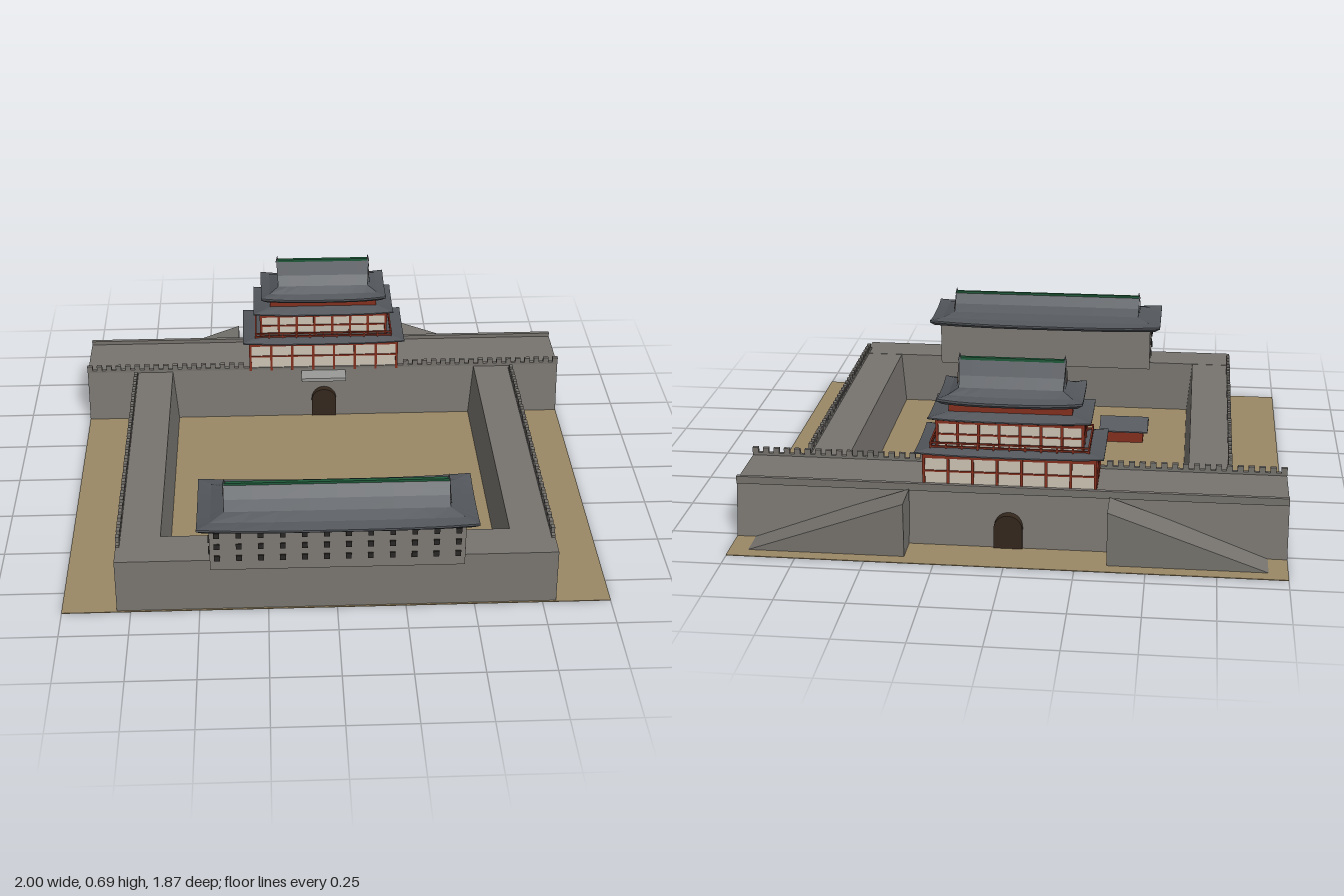
import * as THREE from 'three';
import { mergeGeometries } from 'three/addons/utils/BufferGeometryUtils.js';

const mat = (color) => new THREE.MeshStandardMaterial({ color, side: THREE.DoubleSide });

export function createModel() {
  const root = new THREE.Group();
  const stone = mat(0x77746f), brick = mat(0x7f7b75), tile = mat(0x52565b), red = mat(0x85301f),
    cream = mat(0xcfc5b6), wood = mat(0x35281d), green = mat(0x1f5a3a), dark = mat(0x2a2826),
    earth = mat(0x9a8865), gableMat = mat(0x6b615a), slabMat = mat(0x9a9a98);

  const add = (parent, name, geometry, material) => {
    const mesh = new THREE.Mesh(geometry, material);
    mesh.name = name;
    parent.add(mesh);
    return mesh;
  };
  const group = (name, x = 0, z = 0) => {
    const g = new THREE.Group();
    g.name = name;
    g.position.set(x, 0, z);
    root.add(g);
    return g;
  };
  // Box given by its limits
  const box = (x0, x1, y0, y1, z0, z1) => new THREE.BoxGeometry(x1 - x0, y1 - y0, z1 - z0)
    .translate((x0 + x1) / 2, (y0 + y1) / 2, (z0 + z1) / 2);

  // Stacked rectangles [x0, x1, z0, z1, y, cornerLift], closed at both ends
  function loft(rings, steps = 1) {
    const pos = [], idx = [], n = steps * 4;
    for (const [x0, x1, z0, z1, y, lift = 0] of rings) {
      const c = [[x0, z1], [x1, z1], [x1, z0], [x0, z0]];
      for (let s = 0; s < n; s++) {
        const a = c[Math.floor(s / steps)], b = c[(Math.floor(s / steps) + 1) % 4], t = (s % steps) / steps;
        pos.push(a[0] + (b[0] - a[0]) * t, y + lift * Math.abs(2 * t - 1) ** 3, a[1] + (b[1] - a[1]) * t);
      }
    }
    for (let r = 0; r < rings.length - 1; r++) {
      for (let s = 0; s < n; s++) {
        const a = r * n + s, b = r * n + (s + 1) % n;
        idx.push(a, b, b + n, a, b + n, a + n);
      }
    }
    const last = (rings.length - 1) * n;
    for (let s = 1; s < n - 1; s++) idx.push(0, s + 1, s, last, last + s, last + s + 1);
    const g = new THREE.BufferGeometry();
    g.setAttribute('position', new THREE.Float32BufferAttribute(pos, 3));
    g.setIndex(idx);
    const flat = g.toNonIndexed();
    flat.computeVertexNormals();
    return flat;
  }
  // Centred rings [halfX, halfZ, y, lift]
  const centred = (rings) => loft(rings.map(([x, z, y, l]) => [-x, x, -z, z, y, l]), 8);

  // Ground
  add(root, 'ground', box(-1, 1, 0.001, 0.004, -0.935, 0.872), earth);

  // Battered walls around the court
  add(root, 'gateWall', loft([[-1, 1, -0.775, -0.452, 0], [-1, 1, -0.735, -0.488, 0.212]]), stone);
  add(root, 'frontWall', loft([[-0.8, 0.8, 0.68, 0.866, 0], [-0.8, 0.8, 0.698, 0.85, 0.21]]), stone);
  for (const s of [-1, 1]) {
    const inner = [0.62, 0.64].map((v) => [Math.min(s * v, s * 0.8), Math.max(s * v, s * 0.8)]);
    add(root, 'sideWall', loft([[...inner[0], -0.47, 0.71, 0], [...inner[1], -0.49, 0.71, 0.209]]), stone);
  }

  // Parapets and battlements
  const teeth = [];
  for (let x = 0.35; x < 0.995; x += 0.04) {
    for (const s of [-1, 1]) teeth.push(box(s * x - 0.011, s * x + 0.011, 0.212, 0.242, -0.502, -0.488));
  }
  for (let z = -0.43; z < 0.76; z += 0.04) {
    for (const s of [-1, 1]) teeth.push(box(s * 0.793 - 0.007, s * 0.793 + 0.007, 0.205, 0.241, z - 0.011, z + 0.011));
  }
  add(root, 'battlements', mergeGeometries(teeth), stone);
  add(root, 'gateWallFrontParapet', box(-1, 1, 0.2, 0.222, -0.502, -0.488), stone);
  add(root, 'gateWallRearParapet', box(-1, 1, 0.2, 0.228, -0.745, -0.73), stone);
  for (const s of [-1, 1]) {
    add(root, 'sideParapet', box(s * 0.793 - 0.007, s * 0.793 + 0.007, 0.2, 0.218, -0.47, 0.76), stone);
  }

  // Ramps climbing toward the gate behind the wall
  const rampShape = new THREE.Shape([[0.362, 0], [0.942, 0], [0.362, 0.208]].map((p) => new THREE.Vector2(...p)));
  const rampGeo = new THREE.ExtrudeGeometry(rampShape, { depth: 0.135, bevelEnabled: false });
  add(root, 'ramp', rampGeo, stone).position.z = -0.885;
  const ramp2 = add(root, 'ramp', rampGeo, stone);
  ramp2.rotation.y = Math.PI;
  ramp2.position.z = -0.75;

  // Arched gates
  const arch = new THREE.Shape();
  arch.moveTo(-0.052, 0);
  arch.lineTo(0.052, 0);
  arch.lineTo(0.052, 0.08);
  arch.absarc(0, 0.08, 0.052, 0, Math.PI);
  const archGeo = new THREE.ExtrudeGeometry(arch, { depth: 0.05, bevelEnabled: false, curveSegments: 10 });
  add(root, 'innerGate', archGeo, wood).position.set(0, 0, -0.497);
  add(root, 'outerGate', archGeo, wood).position.set(0, 0, -0.783);
  const sideGate = add(root, 'sideGate', archGeo, wood);
  sideGate.rotation.y = Math.PI / 2;
  sideGate.position.set(0.758, 0, 0.066);
  add(root, 'gateLedge', box(-0.095, 0.092, 0.19, 0.205, -0.49, -0.417), slabMat);

  // Hip-and-gable roof: eave, concave skirt, gable, ridge and end finials
  function hipGableRoof(parent, { ex, ez, ey, gx, gz, gy, ry, flare }) {
    const mid = gy + (ry - gy) * 0.4;
    add(parent, 'roof', centred([
      [ex - 0.02, ez - 0.015, ey - 0.012, 0.008], [ex, ez, ey, 0.012], [ex, ez, ey + 0.008, 0.012],
      [(ex + gx) / 2, (ez + gz) / 2, ey + (gy - ey) * 0.48, 0.004],
      [gx, gz, gy], [gx + flare * 0.4, gz * 0.52, mid], [gx + flare, 0.006, ry]]), tile);
    add(parent, 'ridge', box(-gx, gx, ry - 0.004, ry + 0.008, -0.007, 0.007), green);
    const gable = new THREE.ShapeGeometry(new THREE.Shape([[-gz * 0.9, gy + 0.004], [gz * 0.9, gy + 0.004],
      [gz * 0.45, mid], [0, ry - 0.008], [-gz * 0.45, mid]].map((p) => new THREE.Vector2(...p))));
    for (const s of [-1, 1]) {
      const m = add(parent, 'gable', gable, gableMat);
      m.rotation.y = s * Math.PI / 2;
      m.position.x = s * (gx + flare + 0.002);
      add(parent, 'ridgeFinial', new THREE.ConeGeometry(0.008, 0.03, 6)
        .translate(s * (gx + flare - 0.004), ry + 0.01, 0), tile);
    }
  }

  // Front tower with rows of small windows
  const front = group('frontTower', 0, 0.77);
  add(front, 'towerBody', box(-0.455, 0.455, 0.195, 0.375, -0.117, 0.118), brick);
  const windows = [];
  for (const y of [0.247, 0.297, 0.345]) {
    for (let i = 0; i < 12; i++) {
      const x = (i - 5.5) * 0.078;
      windows.push(box(x - 0.01, x + 0.01, y - 0.011, y + 0.011, 0.11, 0.123));
    }
    for (const z of [-0.045, 0.07]) {
      for (const s of [-1, 1]) windows.push(box(s * 0.454 - 0.007, s * 0.454 + 0.007, y - 0.011, y + 0.011, z - 0.01, z + 0.01));
    }
  }
  add(front, 'windows', mergeGeometries(windows), dark);
  hipGableRoof(front, { ex: 0.497, ez: 0.16, ey: 0.38, gx: 0.4, gz: 0.08, gy: 0.418, ry: 0.482, flare: 0.003 });

  // Gate tower: timber-framed storeys with their own eaves
  const gate = group('gateTower', 0, -0.61);
  function storey(hx, hz, y0, y1, bays, sideBays) {
    add(gate, 'storeyWalls', box(-hx, hx, y0, y1, -hz, hz), cream);
    const frame = [], r = 0.005;
    for (let i = 0; i <= bays; i++) {
      const x = -hx + 2 * hx * i / bays;
      for (const s of [-1, 1]) frame.push(box(x - r, x + r, y0, y1, s * hz - r, s * hz + r));
    }
    for (let i = 1; i < sideBays; i++) {
      const z = -hz + 2 * hz * i / sideBays;
      for (const s of [-1, 1]) frame.push(box(s * hx - r, s * hx + r, y0, y1, z - r, z + r));
    }
    for (const [t, h] of [[0.04, 0.004], [0.5, 0.003], [0.92, 0.007]]) {
      const y = y0 + (y1 - y0) * t;
      frame.push(box(-hx - 0.004, hx + 0.004, y - h, y + h, -hz - 0.004, hz + 0.004));
    }
    add(gate, 'timberFrame', mergeGeometries(frame), red);
  }
  storey(0.31, 0.118, 0.208, 0.342, 7, 3);
  add(gate, 'lowerEave', centred([[0.32, 0.135, 0.338, 0.006], [0.34, 0.149, 0.343, 0.008],
    [0.34, 0.149, 0.348, 0.008], [0.265, 0.1, 0.366]]), tile);
  storey(0.262, 0.098, 0.355, 0.468, 7, 3);
  add(gate, 'middleEave', centred([[0.275, 0.113, 0.463, 0.006], [0.292, 0.125, 0.468, 0.008],
    [0.292, 0.125, 0.473, 0.008], [0.222, 0.08, 0.492]]), tile);
  add(gate, 'atticStorey', box(-0.222, 0.222, 0.485, 0.535, -0.08, 0.08), red);
  hipGableRoof(gate, { ex: 0.26, ez: 0.123, ey: 0.533, gx: 0.187, gz: 0.058, gy: 0.575, ry: 0.665, flare: 0.006 });

  // Balcony railing around the second storey
  const rails = [], bx = 0.285, bz = 0.114;
  for (const y of [0.368, 0.382]) {
    for (const s of [-1, 1]) {
      rails.push(box(-bx, bx, y - 0.003, y + 0.003, s * bz - 0.003, s * bz + 0.003));
      rails.push(box(s * bx - 0.003, s * bx + 0.003, y - 0.003, y + 0.003, -bz, bz));
    }
  }
  for (let i = 0; i <= 10; i++) {
    const x = -bx + bx * i / 5;
    for (const s of [-1, 1]) rails.push(box(x - 0.003, x + 0.003, 0.355, 0.385, s * bz - 0.003, s * bz + 0.003));
  }
  add(gate, 'balconyRailing', mergeGeometries(rails), red);

  // Small hut in the court
  const hut = group('hut', -0.365, 0.331);
  add(hut, 'hutBody', box(-0.08, 0.08, 0, 0.06, -0.055, 0.055), red);
  add(hut, 'hutRoof', loft([[-0.1, 0.1, -0.075, 0.075, 0.054], [-0.1, 0.1, -0.075, 0.075, 0.059],
    [-0.1, 0.1, -0.002, 0.002, 0.098]]), tile);

  return root;
}
